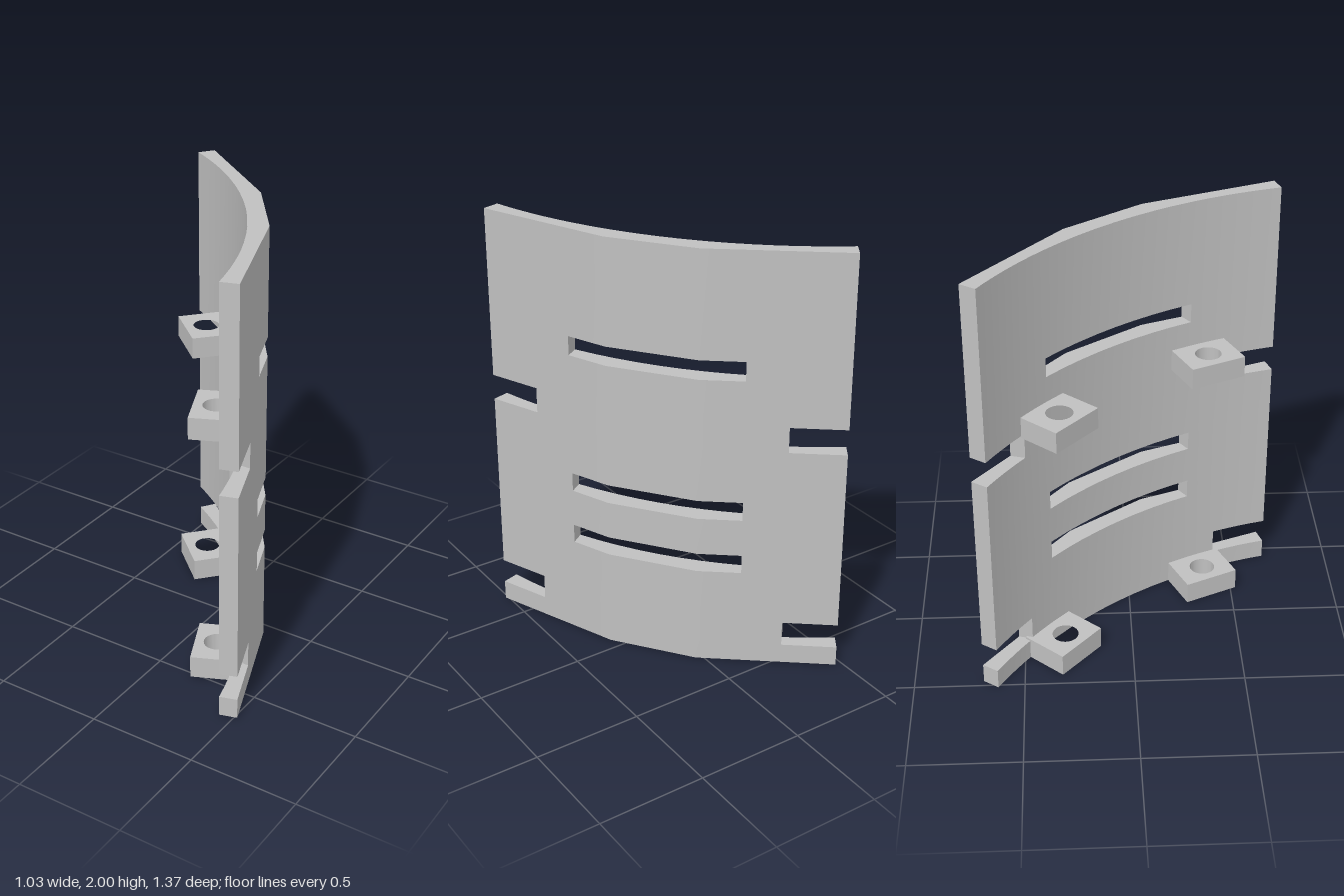
import * as THREE from 'three';
import { toCreasedNormals } from 'three/addons/utils/BufferGeometryUtils.js';

// Half of the plate's plan columns: [inner u, outer u], mirrored about u = 0
const HALF = [[0.1, 0.1], [0.211, 0.211], [0.3, 0.3], [0.403, 0.405], [0.475, 0.495],
  [0.55, 0.59], [0.615, 0.65], [0.68, 0.715], [0.745, 0.775], [0.807, 0.834]];
const COLUMNS = [...HALF.map(([a, b]) => [-a, -b]).reverse(), [0, 0], ...HALF];

// Plate heights, with the rows that are slotted or notched
const ROWS = [0, 0.095, 0.215, 0.47, 0.56, 0.74, 0.83, 1.085, 1.205, 1.415, 1.505, 2];
const NOTCH_ROWS = [1, 7];
const SLOT_ROWS = [3, 5, 9];

// Inner face is an arc, outer face has three flat facets
const innerZ = (u) => 1.939 - Math.sqrt(2.1 * 2.1 - u * u);
const outerZ = (u) => -0.2415 + 0.265 * Math.max(0, Math.abs(u) - 0.211);

function isSolid(i, j) {
  if (i < 0 || j < 0 || i >= COLUMNS.length - 1 || j >= ROWS.length - 1) return false;
  const mid = Math.abs(COLUMNS[i][0] + COLUMNS[i + 1][0]) / 2;
  if (NOTCH_ROWS.includes(j) && mid > 0.55) return false;
  if (SLOT_ROWS.includes(j) && mid < 0.403) return false;
  return true;
}

// Curved plate: emits only the outside faces of the solid cells
function plateGeometry() {
  const pos = [];
  const inner = (i, j) => [COLUMNS[i][0], ROWS[j], innerZ(COLUMNS[i][0])];
  const outer = (i, j) => [COLUMNS[i][1], ROWS[j], outerZ(COLUMNS[i][1])];
  const quad = (a, b, c, d) => pos.push(...a, ...b, ...c, ...a, ...c, ...d);
  for (let i = 0; i < COLUMNS.length - 1; i++) {
    for (let j = 0; j < ROWS.length - 1; j++) {
      if (!isSolid(i, j)) continue;
      const r = i + 1, t = j + 1;
      quad(inner(i, j), inner(r, j), inner(r, t), inner(i, t));
      quad(outer(r, j), outer(i, j), outer(i, t), outer(r, t));
      if (!isSolid(i - 1, j)) quad(outer(i, j), inner(i, j), inner(i, t), outer(i, t));
      if (!isSolid(r, j)) quad(inner(r, j), outer(r, j), outer(r, t), inner(r, t));
      if (!isSolid(i, t)) quad(inner(i, t), inner(r, t), outer(r, t), outer(i, t));
      if (!isSolid(i, j - 1)) quad(outer(i, j), outer(r, j), inner(r, j), inner(i, j));
    }
  }
  const geo = new THREE.BufferGeometry();
  geo.setAttribute('position', new THREE.Float32BufferAttribute(pos, 3));
  return toCreasedNormals(geo, 0.5);
}

// Mounting lug with a round hole; its back edge sinks into the plate
function lugGeometry(side, height) {
  const corners = [[0.265, -0.057], [0.527, -0.112], [0.575, 0.108], [0.312, 0.165]];
  const shape = new THREE.Shape(corners.map(([u, n]) => new THREE.Vector2(side * u, n)));
  const hole = new THREE.Path();
  hole.absarc(side * 0.417, 0.014, 0.06, 0, Math.PI * 2, true);
  shape.holes.push(hole);
  const geo = new THREE.ExtrudeGeometry(shape, { depth: height, bevelEnabled: false, curveSegments: 24 });
  geo.rotateX(-Math.PI / 2);
  return toCreasedNormals(geo, 0.5);
}

export function createModel() {
  const grey = new THREE.MeshStandardMaterial({ color: 0xc0c0c0 });
  grey.name = 'light grey';

  const bracket = new THREE.Group();
  bracket.name = 'curvedBracket';
  const add = (name, geo, y = 0) => {
    const mesh = new THREE.Mesh(geo, grey);
    mesh.name = name;
    mesh.position.y = y;
    bracket.add(mesh);
  };

  add('slottedPlate', plateGeometry());
  for (const side of [-1, 1]) {
    const label = side < 0 ? 'right' : 'left';
    add(label + 'LowerLug', lugGeometry(side, 0.105), 0);
    add(label + 'UpperLug', lugGeometry(side, 0.1), 1.195);
  }

  // Turn the symmetric bracket to its diagonal stance
  bracket.rotation.y = -0.941;
  bracket.position.set(-0.04, 0, 0.0325);

  const model = new THREE.Group();
  model.name = 'model';
  model.add(bracket);
  return model;
}
